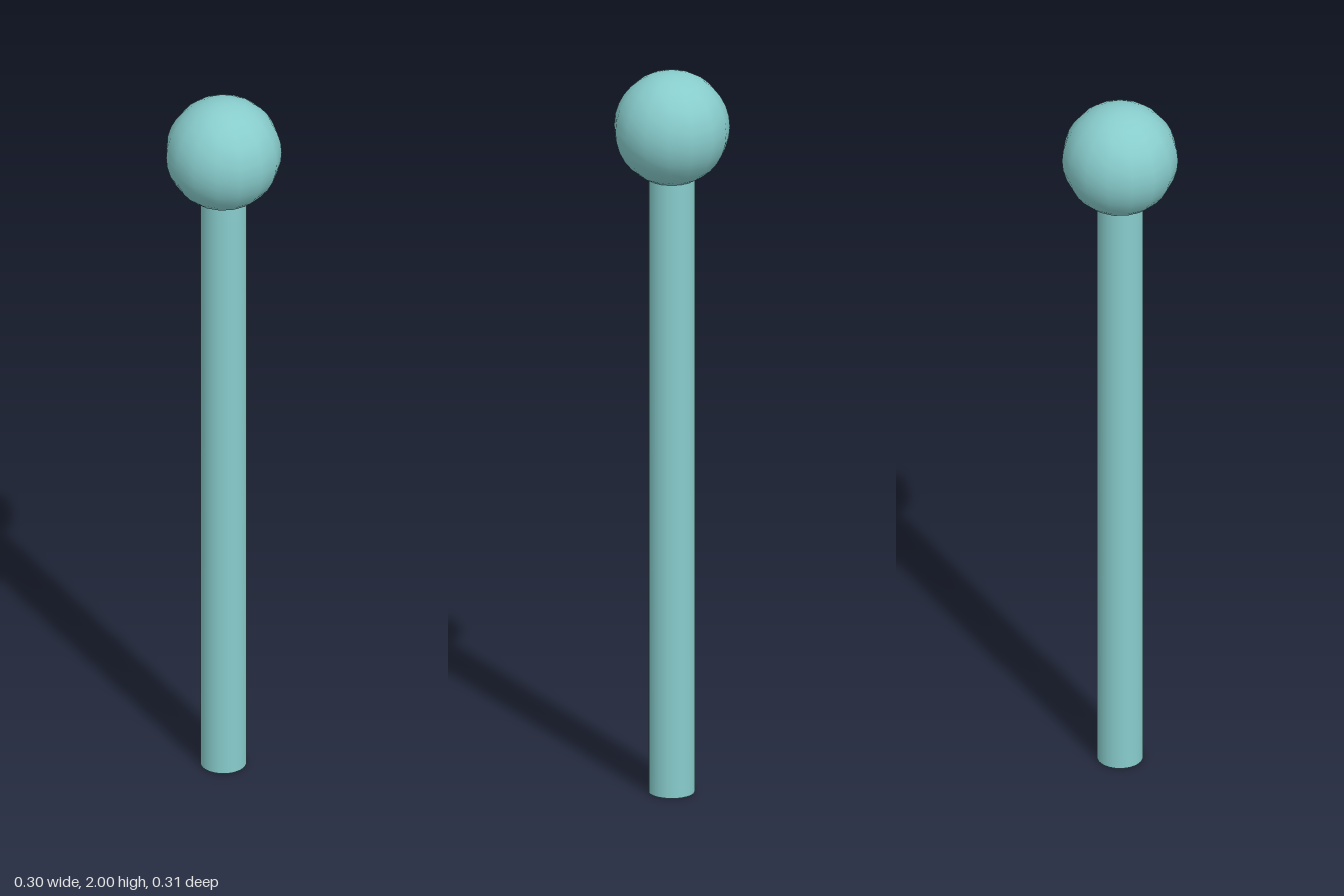
import * as THREE from 'three';

export function createModel() {
  const group = new THREE.Group();
  const material = new THREE.MeshStandardMaterial({ color: 0x88cccc });
  const radius = 0.154;
  const centreY = 2 - radius;

  // Round post, running up into the ball
  const post = new THREE.Mesh(new THREE.CylinderGeometry(0.061, 0.061, centreY, 30), material);
  post.name = 'post';
  post.position.y = centreY / 2;

  // Ball on top, 15-sided in plan with a corner towards +x
  const ball = new THREE.Mesh(new THREE.SphereGeometry(radius, 15, 16), material);
  ball.name = 'ball';
  ball.rotation.y = Math.PI;
  ball.position.y = centreY;

  group.add(post, ball);
  // An odd number of sides puts the ball's axis slightly off the centre of its outline
  group.position.x = -0.002;

  const model = new THREE.Group();
  model.name = 'ballToppedPost';
  model.add(group);
  return model;
}
